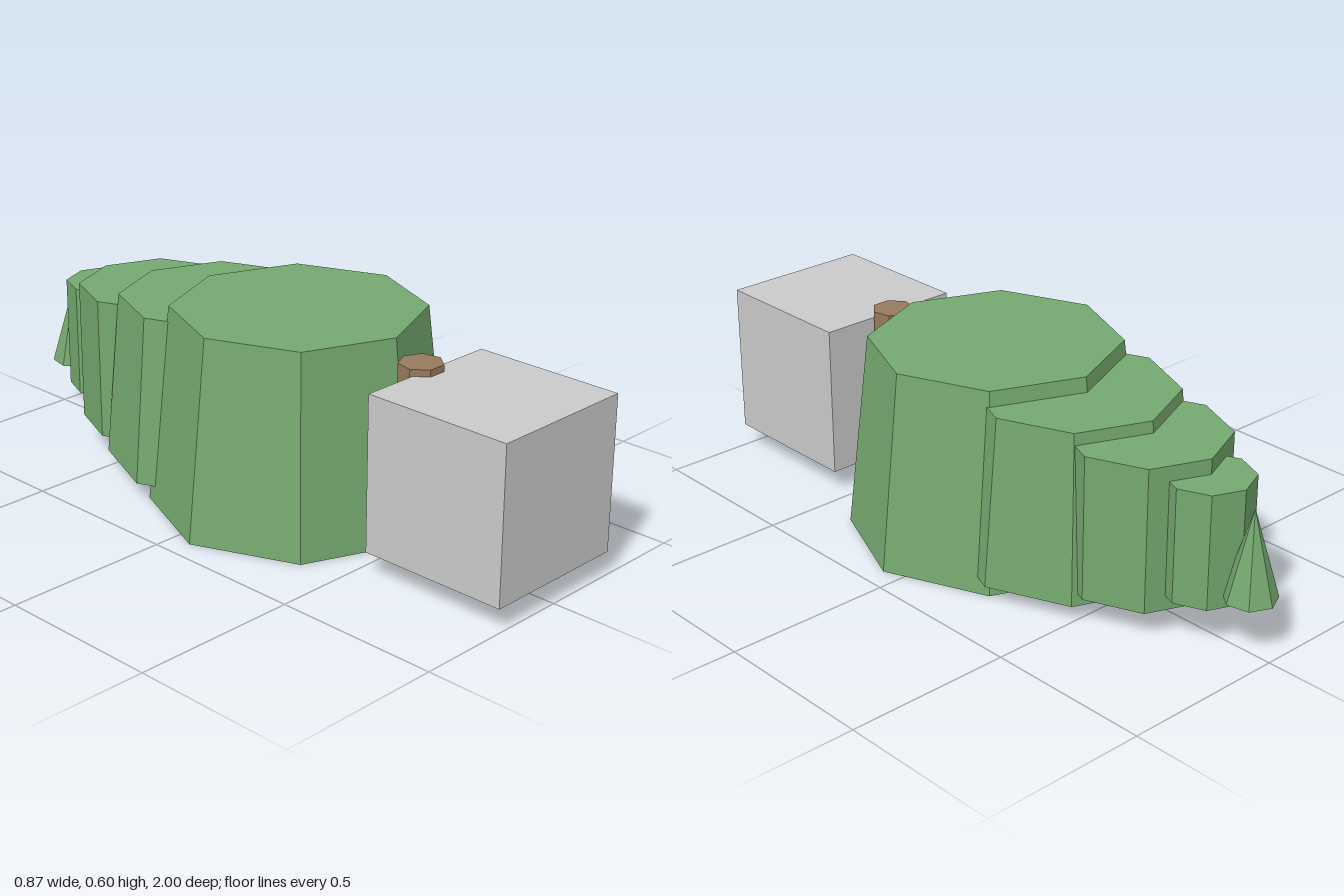
import * as THREE from 'three';

export function createModel() {
  const model = new THREE.Group();
  model.name = 'stylisedTree';

  const material = (name, color) => {
    const m = new THREE.MeshStandardMaterial({ color, flatShading: true });
    m.name = name;
    return m;
  };
  const leafGreen = material('leafGreen', 0x75a86f);
  const barkBrown = material('barkBrown', 0x97795f);
  const potGrey = material('potGrey', 0xcacaca);

  // Upright faceted column between two heights, with its axis at the given z
  const column = (name, mat, { top, bottom, y0, y1, z, sides = 8, turn = 0 }) => {
    const geometry = new THREE.CylinderGeometry(top, bottom, y1 - y0, sides, 1, false, turn);
    const mesh = new THREE.Mesh(geometry, mat);
    mesh.name = name;
    mesh.position.set(0, (y0 + y1) / 2, z);
    model.add(mesh);
  };

  // Pot
  const pot = new THREE.Mesh(new THREE.BoxGeometry(0.46, 0.46, 0.46), potGrey);
  pot.name = 'pot';
  pot.position.set(0, 0.3, 0.77);
  model.add(pot);

  // Seven-sided trunk, flat side towards the pot
  column('trunk', barkBrown,
    { top: 0.064, bottom: 0.064, y0: 0.05, y1: 0.55, z: 0.521, sides: 7, turn: Math.PI });

  // Foliage tiers, shrinking towards the back
  const tiers = [
    { top: 0.367, bottom: 0.435, y0: 0, y1: 0.595, z: 0.064 },
    { top: 0.295, bottom: 0.34, y0: 0.05, y1: 0.55, z: -0.261 },
    { top: 0.234, bottom: 0.234, y0: 0.085, y1: 0.515, z: -0.535 },
    { top: 0.127, bottom: 0.127, y0: 0.13, y1: 0.47, z: -0.763 },
  ];
  tiers.forEach((tier, i) => column(`foliageTier${i + 1}`, leafGreen, tier));

  // Pointed tip
  column('foliageTip', leafGreen,
    { top: 0, bottom: 0.077, y0: 0.165, y1: 0.43, z: -0.923, sides: 7, turn: Math.PI });

  return model;
}
